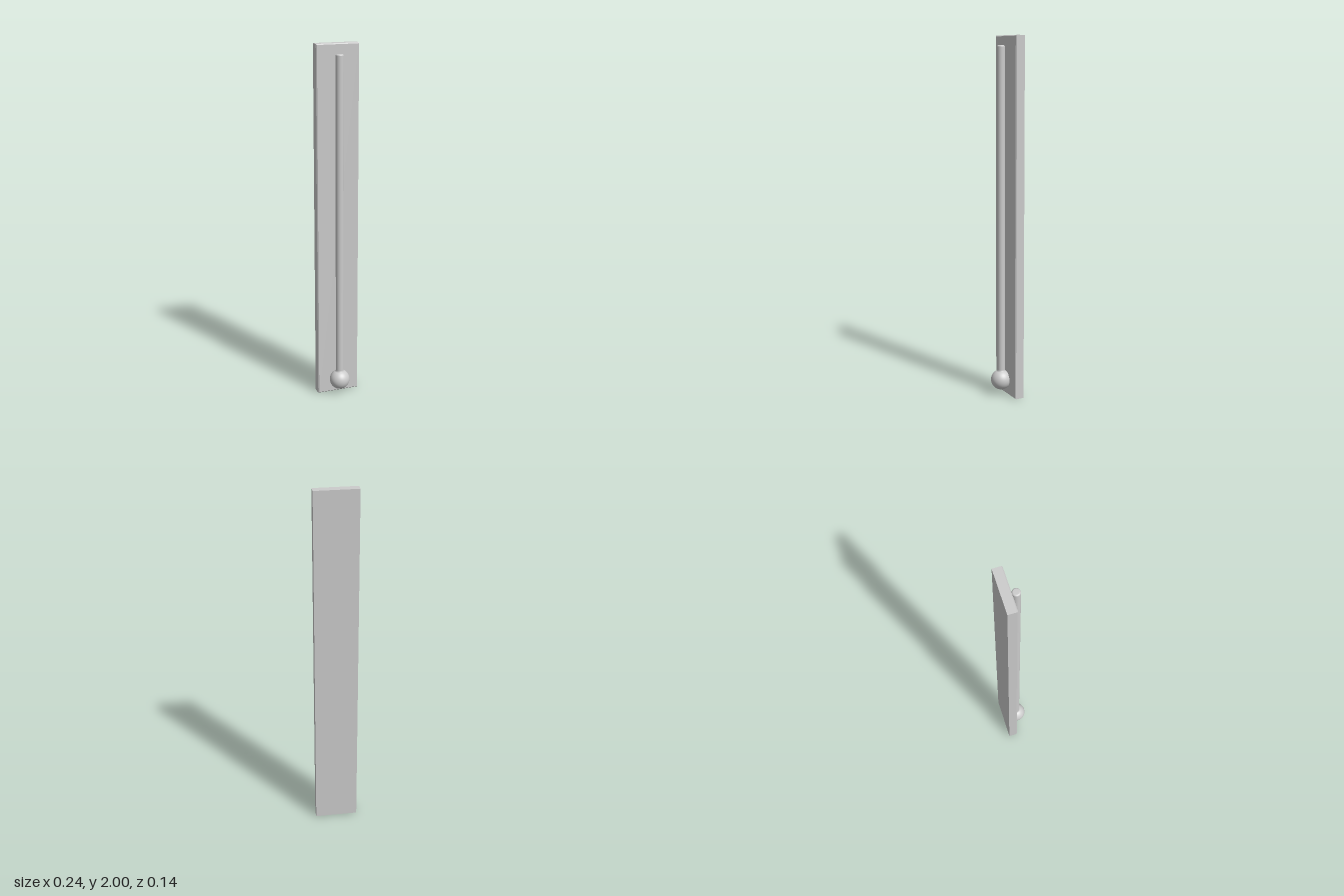
import * as THREE from 'three';

export function createModel() {
  const group = new THREE.Group();
  const material = new THREE.MeshStandardMaterial({ color: 0xcccccc });

  // Backing board: a tall slab whose front edges are chamfered
  const width = 0.24, height = 2, depth = 0.052, chamfer = 0.005;
  const slab = new THREE.BoxGeometry(width, height, depth, 1, 1, 2);
  const p = slab.attributes.position;
  for (let i = 0; i < p.count; i++) {
    const z = p.getZ(i);
    if (Math.abs(z) < 1e-6) {
      p.setZ(i, depth / 2 - chamfer);
    } else if (z > 0) {
      p.setX(i, p.getX(i) - Math.sign(p.getX(i)) * chamfer);
      p.setY(i, p.getY(i) - Math.sign(p.getY(i)) * chamfer);
    }
  }
  const boardGeometry = slab.toNonIndexed();
  boardGeometry.computeVertexNormals();
  const board = new THREE.Mesh(boardGeometry, material);
  board.name = 'backingBoard';
  board.position.set(0, height / 2, -0.0685 + depth / 2);
  group.add(board);

  // Glass tube: round bulb, straight stem and softly rounded tip, turned in one piece
  const bulbR = 0.057, bulbY = 0.085, stemR = 0.022, top = 1.947, tipR = 0.008;
  const profile = [];
  const neck = Math.PI - Math.asin(stemR / bulbR);
  for (let i = 0; i <= 24; i++) {
    const a = (neck * i) / 24;
    profile.push(new THREE.Vector2(bulbR * Math.sin(a), bulbY - bulbR * Math.cos(a)));
  }
  profile.push(new THREE.Vector2(stemR, 0.146));
  for (let i = 0; i <= 6; i++) {
    const a = (Math.PI / 2) * (i / 6);
    profile.push(new THREE.Vector2(stemR - tipR + tipR * Math.cos(a), top - tipR + tipR * Math.sin(a)));
  }
  profile.push(new THREE.Vector2(0, top));
  const tube = new THREE.Mesh(new THREE.LatheGeometry(profile, 48), material);
  tube.name = 'bulbAndStem';
  tube.position.z = 0.0115;
  group.add(tube);

  return group;
}
